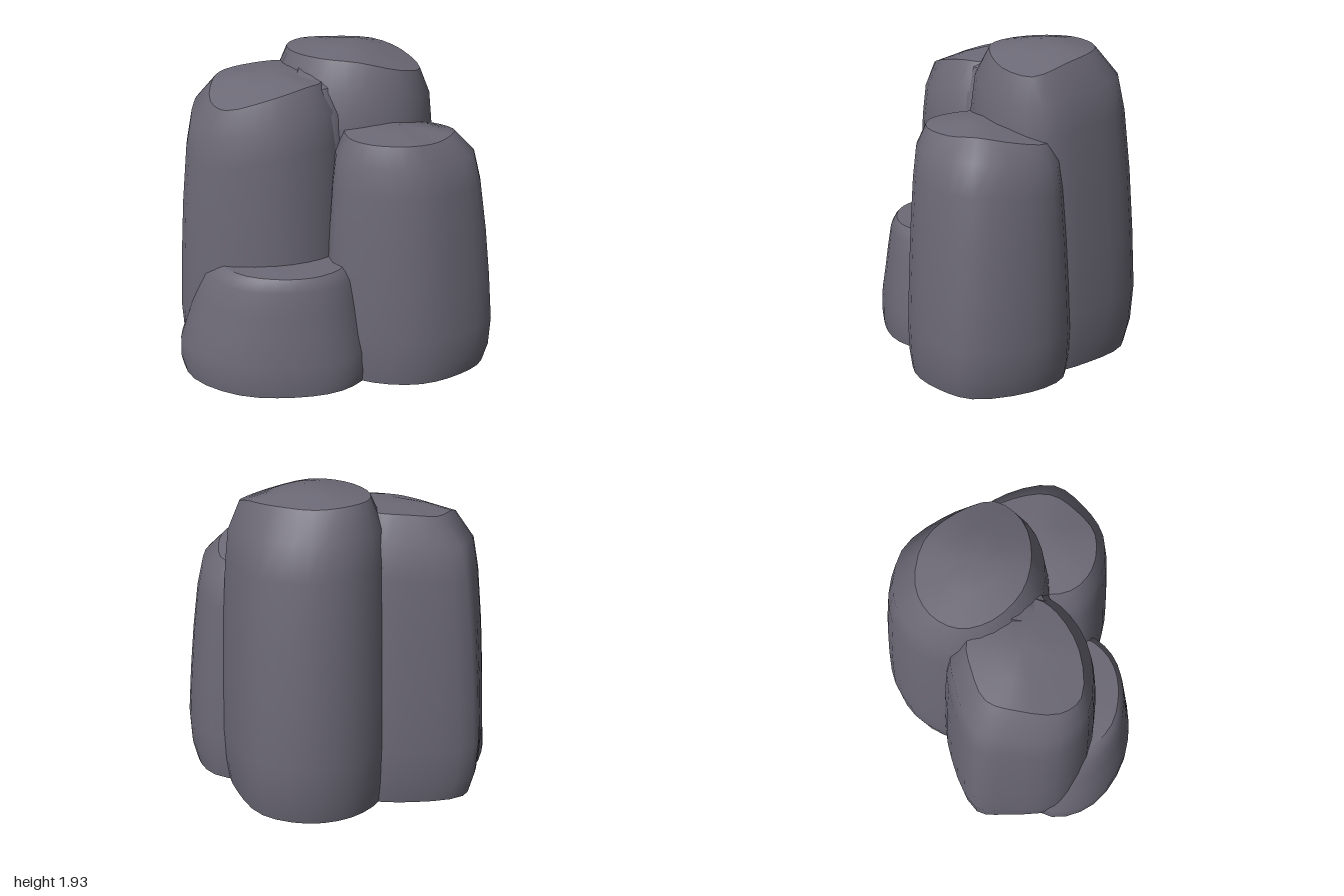
import * as THREE from 'three';

const SIDES = 30;

// Wall levels: [share of the height, blend from the wide outline to the top rim]
const TALL = [[0, 0.2], [0.08, 0.06], [0.2, 0], [0.4, 0.07], [0.6, 0.17], [0.8, 0.32], [0.91, 0.48], [1, 1]];
const STRAIGHT = [[0, 0.17], [0.08, 0.04], [0.2, 0], [0.4, 0.09], [0.6, 0.21], [0.8, 0.37], [0.92, 0.54], [1, 1]];
const SQUAT = [[0, 0.07], [0.1, 0], [0.27, 0.02], [0.5, 0.24], [0.7, 0.42], [0.9, 0.63], [0.97, 0.85], [1, 1]];

// Smooth closed loop through a few points
function loop(points) {
  const curve = new THREE.CatmullRomCurve3(points.map(p => new THREE.Vector3(...p)), true);
  return Array.from({ length: SIDES }, (_, i) => curve.getPoint(i / SIDES));
}

// A tapered rock pillar: base outline [x, z], top rim [x, y, z], and the peak of its crown
function pillar(name, levels, outline, rim, peak, material) {
  const low = loop(outline.map(([x, z]) => [x, 0, z]));
  const high = loop(rim);
  const top = new THREE.Vector3(...peak);
  const pos = [], idx = [];
  const addRing = points => {
    const start = pos.length / 3;
    points.forEach(p => pos.push(p.x, p.y, p.z));
    return start;
  };
  const join = (a, b) => {
    for (let i = 0; i < SIDES; i++) {
      const n = (i + 1) % SIDES;
      idx.push(a + i, b + i, a + n, a + n, b + i, b + n);
    }
  };
  const wallRing = ([h, t]) => low.map((p, i) =>
    new THREE.Vector3().lerpVectors(p, high[i], t).setY(high[i].y * h));

  // walls, smooth from the foot to the rim
  const rings = levels.map(level => addRing(wallRing(level)));
  for (let k = 1; k < rings.length; k++) join(rings[k - 1], rings[k]);

  // gently domed crown with its own sharp rim
  const rimRing = addRing(high);
  const inner = addRing(high.map(p => {
    const q = p.clone().lerp(top, 0.5);
    q.y += (top.y - p.y) * 0.12;
    return q;
  }));
  join(rimRing, inner);
  const apex = addRing([top]);
  for (let i = 0; i < SIDES; i++) idx.push(inner + i, apex, inner + (i + 1) % SIDES);

  // flat underside
  const foot = addRing(wallRing(levels[0]));
  const centre = addRing([new THREE.Vector3(top.x, 0, top.z)]);
  for (let i = 0; i < SIDES; i++) idx.push(foot + i, foot + (i + 1) % SIDES, centre);

  const geometry = new THREE.BufferGeometry();
  geometry.setAttribute('position', new THREE.Float32BufferAttribute(pos, 3));
  geometry.setIndex(idx);
  geometry.computeVertexNormals();
  const mesh = new THREE.Mesh(geometry, material);
  mesh.name = name;
  return mesh;
}

export function createModel() {
  const stone = new THREE.MeshStandardMaterial({ color: 0x6c6976 });
  stone.name = 'slate stone';
  const group = new THREE.Group();
  group.name = 'rockCluster';

  group.add(
    pillar('backPillar', TALL,
      [[0.58, -0.33], [0.5, 0], [0.22, 0.2], [-0.13, 0.23], [-0.43, 0], [-0.51, -0.33], [-0.42, -0.62], [-0.2, -0.8], [0.1, -0.82], [0.38, -0.61]],
      [[0.48, 1.79, -0.22], [0.38, 1.82, -0.04], [0.15, 1.88, 0.06], [-0.08, 1.89, 0.05], [-0.28, 1.89, -0.08],
        [-0.36, 1.89, -0.25], [-0.31, 1.89, -0.42], [-0.15, 1.88, -0.54], [0.12, 1.88, -0.55], [0.33, 1.85, -0.42]],
      [0.05, 1.935, -0.24], stone),
    pillar('rightPillar', TALL,
      [[0.12, 0.12], [0, 0.39], [-0.25, 0.56], [-0.62, 0.58], [-0.87, 0.43], [-0.97, 0.13], [-0.99, -0.07], [-0.72, -0.28], [-0.4, -0.38], [-0.05, -0.25]],
      [[-0.06, 1.77, 0.12], [-0.12, 1.77, 0.26], [-0.3, 1.73, 0.42], [-0.55, 1.67, 0.48], [-0.67, 1.69, 0.38],
        [-0.72, 1.76, 0.15], [-0.7, 1.77, -0.03], [-0.55, 1.79, -0.14], [-0.38, 1.8, -0.2], [-0.18, 1.8, -0.08]],
      [-0.38, 1.815, 0.1], stone),
    // saddle filling the notch between the two tall pillars
    pillar('saddle', TALL,
      [[0.15, 0.1], [0.1, 0.22], [0.02, 0.28], [-0.12, 0.3], [-0.25, 0.2], [-0.3, 0.05], [-0.3, -0.1], [-0.2, -0.15], [-0.05, -0.1], [0.08, 0]],
      [[0, 1.76, 0.08], [-0.02, 1.74, 0.15], [-0.06, 1.74, 0.18], [-0.13, 1.76, 0.18], [-0.2, 1.79, 0.12],
        [-0.22, 1.81, 0.05], [-0.22, 1.83, -0.02], [-0.17, 1.84, -0.05], [-0.08, 1.83, -0.03], [-0.02, 1.8, 0.02]],
      [-0.12, 1.8, 0.06], stone),
    pillar('leftPillar', STRAIGHT,
      [[1, 0.08], [0.88, 0.3], [0.65, 0.48], [0.35, 0.525], [0.05, 0.42], [-0.02, 0.15], [0.03, -0.15], [0.3, -0.4], [0.62, -0.45], [0.86, -0.27]],
      [[0.73, 1.49, 0.07], [0.66, 1.48, 0.24], [0.52, 1.49, 0.38], [0.3, 1.49, 0.4], [0.14, 1.49, 0.3],
        [0.08, 1.5, 0.1], [0.14, 1.49, -0.15], [0.35, 1.45, -0.28], [0.55, 1.42, -0.31], [0.68, 1.45, -0.15]],
      [0.4, 1.53, 0.1], stone),
    pillar('frontBoulder', SQUAT,
      [[0.29, 0.42], [0.18, 0.64], [-0.08, 0.78], [-0.42, 0.825], [-0.76, 0.68], [-0.9, 0.42], [-0.75, 0.1], [-0.45, 0], [-0.15, 0], [0.15, 0.1]],
      [[0.14, 0.73, 0.42], [0.04, 0.73, 0.6], [-0.14, 0.73, 0.69], [-0.39, 0.73, 0.69], [-0.57, 0.73, 0.57],
        [-0.64, 0.73, 0.38], [-0.5, 0.74, 0.2], [-0.4, 0.74, 0.1], [-0.2, 0.74, 0.1], [0.02, 0.74, 0.2]],
      [-0.3, 0.75, 0.4], stone),
  );
  return group;
}
